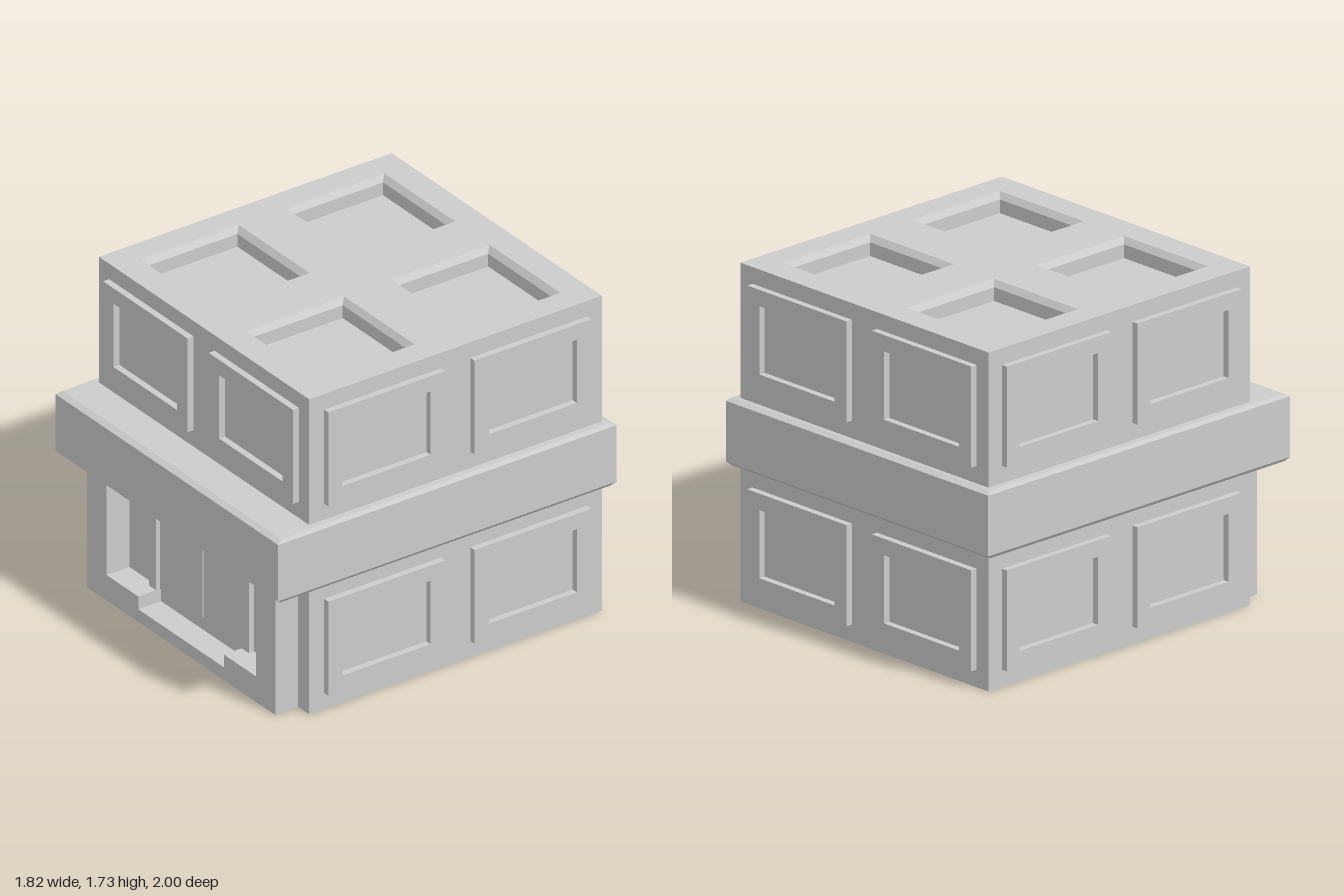
import * as THREE from 'three';

const material = new THREE.MeshStandardMaterial({ color: 0xcccccc, side: THREE.DoubleSide, flatShading: true });

function mesh(name, geometry) {
  const m = new THREE.Mesh(geometry, material);
  m.name = name;
  return m;
}

// Flat-shaded quads from lists of four corners
function quads(list) {
  const pos = [];
  for (const [a, b, c, d] of list) pos.push(...a, ...b, ...c, ...a, ...c, ...d);
  const g = new THREE.BufferGeometry();
  g.setAttribute('position', new THREE.Float32BufferAttribute(pos, 3));
  g.computeVertexNormals();
  return g;
}

// Joins rectangles [halfWidth, halfHeight, depth, centreY] facing +z
function loft(rects, cap) {
  const loops = rects.map(([w, h, z, cy = 0]) =>
    [[-w, cy - h, z], [w, cy - h, z], [w, cy + h, z], [-w, cy + h, z]]);
  const list = [];
  for (let k = 0; k + 1 < loops.length; k++) {
    for (let i = 0; i < 4; i++) {
      const j = (i + 1) % 4;
      list.push([loops[k][i], loops[k][j], loops[k + 1][j], loops[k + 1][i]]);
    }
  }
  if (cap) list.push(loops[loops.length - 1]);
  return quads(list);
}

function rectPath(x0, y0, x1, y1, Type = THREE.Path) {
  return new Type([[x0, y0], [x1, y0], [x1, y1], [x0, y1]].map(p => new THREE.Vector2(...p)));
}

// Sheet with an opening at each centre, every opening filled by a lofted panel
function panelSheet(name, w, y0, y1, centres, rects, panelName) {
  const group = new THREE.Group();
  group.name = name;
  const [hw, hh] = rects[0];
  const shape = rectPath(-w / 2, y0, w / 2, y1, THREE.Shape);
  for (const [x, y] of centres) {
    shape.holes.push(rectPath(x - hw, y - hh, x + hw, y + hh));
    const panel = mesh(panelName, loft(rects, true));
    panel.position.set(x, y, 0);
    group.add(panel);
  }
  group.add(mesh(name + 'Sheet', new THREE.ShapeGeometry(shape)));
  return group;
}

// Ribbon running along xy points, spanning z0 to z1
function ribbon(points, z0, z1) {
  const list = [];
  for (let i = 0; i + 1 < points.length; i++) {
    const [a, b] = [points[i], points[i + 1]];
    list.push([[...a, z0], [...b, z0], [...b, z1], [...a, z1]]);
  }
  return quads(list);
}

function shapeOf(points) {
  return new THREE.ShapeGeometry(new THREE.Shape(points.map(p => new THREE.Vector2(...p))));
}

function box(name, x0, x1, y0, y1, z0, z1) {
  const m = mesh(name, new THREE.BoxGeometry(x1 - x0, y1 - y0, z1 - z0));
  m.position.set((x0 + x1) / 2, (y0 + y1) / 2, (z0 + z1) / 2);
  return m;
}

export function createModel() {
  const model = new THREE.Group();
  model.name = 'building';
  const midZ = -0.085, halfX = 0.86, halfZ = 0.865;

  // Walls of both storeys, each with two raised window frames
  const frame = [[0.345, 0.258, 0], [0.345, 0.258, 0.035], [0.26, 0.174, 0.035], [0.26, 0.174, 0]];
  const sides = ['front', 'left', 'back', 'right'];
  for (const [storey, y0, y1, cy] of [['Lower', 0, 0.7, 0.347], ['Upper', 1.04, 1.73, 1.387]]) {
    sides.forEach((side, i) => {
      if (storey === 'Lower' && side === 'front') return;
      const alongX = i % 2 === 0;
      const wall = panelSheet(side + storey + 'Wall', 2 * (alongX ? halfX : halfZ), y0, y1,
        [[-0.432, cy], [0.432, cy]], frame, 'windowFrame');
      const angle = i * Math.PI / 2, out = alongX ? halfZ : halfX;
      wall.rotation.y = angle;
      wall.position.set(Math.sin(angle) * out, 0, midZ + Math.cos(angle) * out);
      model.add(wall);
    });
  }

  // Roof with four bevelled pockets
  const pocket = [[0.29, 0.29, 0], [0.265, 0.265, -0.03], [0.265, 0.265, -0.1]];
  const centres = [-0.43, 0.43].flatMap(x => [-0.43, 0.43].map(y => [x, y]));
  const roof = panelSheet('roof', 2 * halfX, -halfZ, halfZ, centres, pocket, 'roofPocket');
  roof.rotation.x = -Math.PI / 2;
  roof.position.set(0, 1.73, midZ);
  model.add(roof);

  // Bevelled band overhanging between the storeys
  const band = mesh('band', loft([
    [halfX, halfZ, 0.7, -midZ], [0.895, 0.975, 0.695], [0.91, 1, 0.715],
    [0.91, 1, 1.025], [0.895, 0.97, 1.04], [halfX, halfZ, 1.04, -midZ],
  ]));
  band.rotation.x = -Math.PI / 2;
  model.add(band);

  // Entrance bay with a stepped opening
  const bay = new THREE.Group();
  bay.name = 'entranceBay';
  const back = 0.78, front = 0.915, top = 0.7;
  const opening = [[0.61, top], [0.61, 0.14], [0.35, 0.14], [0.35, 0.07],
    [-0.35, 0.07], [-0.35, 0.14], [-0.61, 0.14], [-0.61, top]];
  bay.add(mesh('bayFront', shapeOf([[-0.77, top], [-0.77, 0], [0.77, 0], [0.77, top], ...opening])));
  bay.add(mesh('bayReveal', ribbon(opening, back, front)));
  bay.add(mesh('bayBackWall', shapeOf(opening)));
  bay.children[2].position.z = back;
  bay.add(mesh('baySideLeft', ribbon([[0.77, 0], [0.77, top]], back, front)));
  bay.add(mesh('baySideRight', ribbon([[-0.77, top], [-0.77, 0]], back, front)));
  bay.children[0].position.z = front;

  // Corner strips, door posts and door leaves, mirrored
  for (const s of [-1, 1]) {
    const span = (a, b) => s > 0 ? [a, b] : [-b, -a];
    const strip = mesh('cornerStrip', new THREE.PlaneGeometry(0.09, top));
    strip.position.set(s * 0.815, top / 2, back);
    bay.add(strip);
    bay.add(box('doorPost', ...span(0.35, 0.41), 0.14, top, back, back + 0.03));
    bay.add(box('doorLeaf', ...span(0.003, 0.35), 0.14, 0.625, back, back + 0.006));
  }
  bay.add(box('doorLintel', -0.35, 0.35, 0.625, top, back, back + 0.03));
  model.add(bay);

  return model;
}
